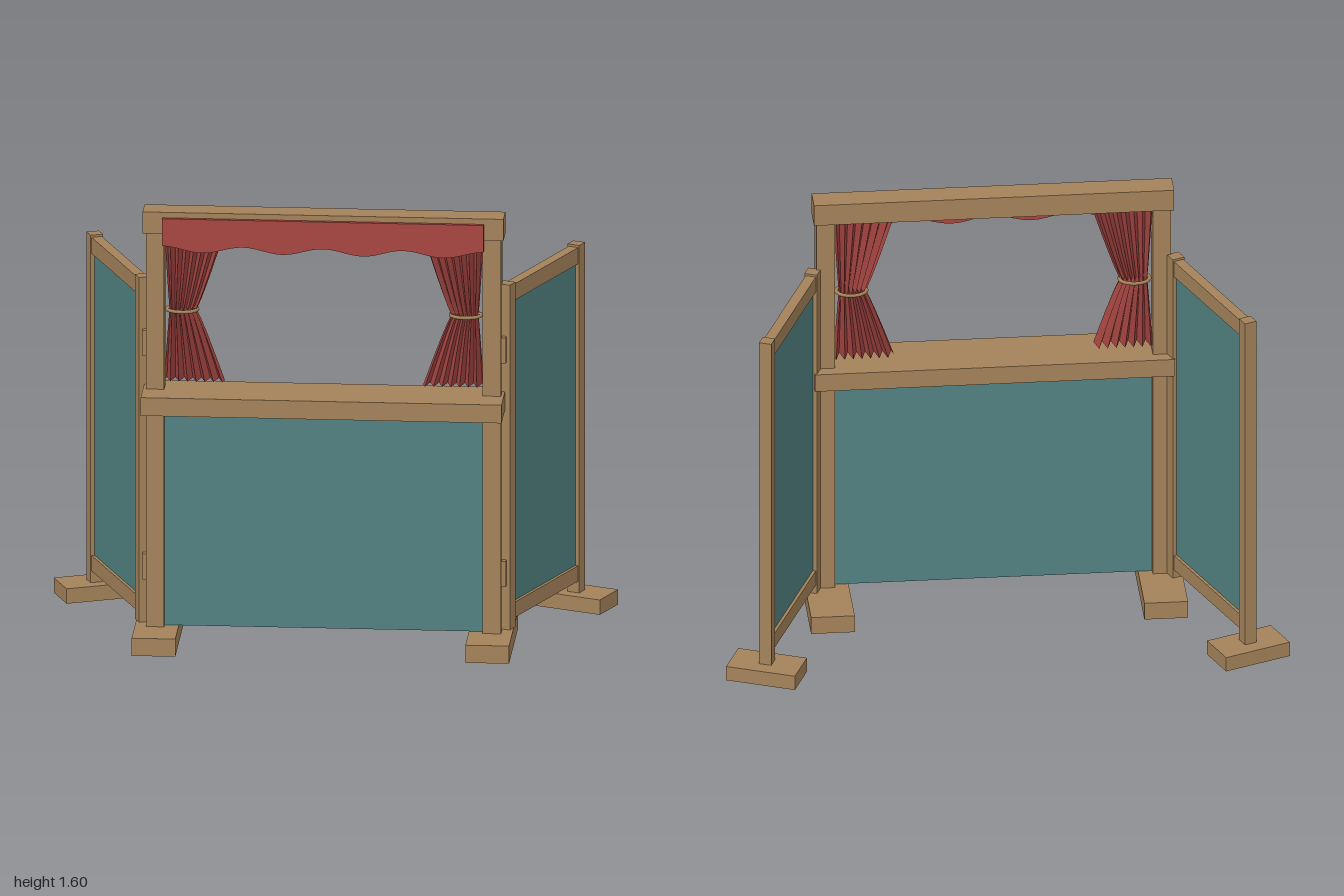
import * as THREE from 'three';

const wood = new THREE.MeshStandardMaterial({ color: 0xa5835a });
const teal = new THREE.MeshStandardMaterial({ color: 0x528282 });
const red = new THREE.MeshStandardMaterial({ color: 0xa84642 });
red.side = THREE.DoubleSide;
red.flatShading = true;

function add(parent, name, geometry, material, x = 0, y = 0, z = 0) {
  const mesh = new THREE.Mesh(geometry, material);
  mesh.name = name;
  mesh.position.set(x, y, z);
  parent.add(mesh);
  return mesh;
}

// box given by its lower and upper corners
function box(parent, name, material, [x0, y0, z0], [x1, y1, z1]) {
  return add(parent, name, new THREE.BoxGeometry(x1 - x0, y1 - y0, z1 - z0), material,
    (x0 + x1) / 2, (y0 + y1) / 2, (z0 + z1) / 2);
}

// flat cloth with a scalloped lower edge
function valanceGeometry() {
  const half = 0.57, steps = 48;
  const shape = new THREE.Shape();
  shape.moveTo(half, 1.58);
  shape.lineTo(-half, 1.58);
  for (let i = 0; i <= steps; i++) {
    const t = i / steps;
    shape.lineTo(-half + 2 * half * t, 1.468 + 0.012 * Math.cos(t * Math.PI * 8));
  }
  return new THREE.ExtrudeGeometry(shape, { depth: 0.014, bevelEnabled: false });
}

// pleated sheet gathered at the tie
function curtainGeometry(side) {
  const pleats = 7, cols = pleats * 4, rows = 16;
  const top = 1.52, tie = 1.23, bottom = 0.97;
  const g = new THREE.PlaneGeometry(1, 1, cols, rows);
  const p = g.attributes.position;
  for (let i = 0; i < p.count; i++) {
    const u = p.getX(i) + 0.5;
    const v = p.getY(i) + 0.5;
    const y = v > 0.5 ? tie + (v - 0.5) * 2 * (top - tie) : bottom + v * 2 * (tie - bottom);
    const open = Math.pow(Math.abs(v - 0.5) * 2, 0.9);
    const outer = 0.548 + 0.019 * open;
    const inner = 0.452 - 0.1 * open;
    const z = 0.245 + (0.022 + 0.006 * open) * Math.sin(u * pleats * Math.PI * 2);
    p.setXYZ(i, side * (inner + (outer - inner) * u), y, z);
  }
  g.computeVertexNormals();
  return g;
}

// folding side wing, running from its hinge along local -z
function wing(side) {
  const g = new THREE.Group();
  g.name = side > 0 ? 'leftWing' : 'rightWing';
  const length = 0.55, h = 0.023;
  box(g, 'hingeStile', wood, [-h, 0.065, -h], [h, 1.338, h]);
  box(g, 'outerStile', wood, [-h, 0.055, -length - h], [h, 1.338, -length + h]);
  box(g, 'topRail', wood, [-0.019, 1.27, -length + h], [0.019, 1.33, -h]);
  box(g, 'bottomRail', wood, [-0.019, 0.098, -length + h], [0.019, 0.155, -h]);
  box(g, 'wingPanel', teal, [-0.008, 0.155, -length + h], [0.008, 1.27, -h]);
  box(g, 'wingFoot', wood, [-0.127, 0, -length - 0.078], [0.127, 0.055, -length + 0.068]);
  g.position.set(side * 0.645, 0, 0.2);
  g.rotation.y = -side * 0.39;
  return g;
}

export function createModel() {
  const model = new THREE.Group();
  model.name = 'puppetTheatre';

  // front frame
  box(model, 'topBeam', wood, [-0.64, 1.52, 0.2], [0.64, 1.6, 0.294]);
  box(model, 'shelf', wood, [-0.64, 0.875, 0.165], [0.64, 0.942, 0.388]);
  box(model, 'frontPanel', teal, [-0.568, 0.065, 0.235], [0.568, 0.876, 0.255]);
  add(model, 'valance', valanceGeometry(), red, 0, 0, 0.294);

  for (const side of [-1, 1]) {
    const post = new THREE.BoxGeometry(0.065, 1.455, 0.07);
    add(model, 'post', post, wood, side * 0.5975, 0.7925, 0.245);
    const foot = new THREE.BoxGeometry(0.155, 0.065, 0.438);
    add(model, 'foot', foot, wood, side * 0.592, 0.0325, 0.209);

    // hinges between post and wing
    for (const y of [0.275, 1.1]) {
      add(model, 'hinge', new THREE.BoxGeometry(0.016, 0.095, 0.035), wood, side * 0.637, y, 0.227);
    }

    // curtain and its tie band
    add(model, 'curtain', curtainGeometry(side), red);
    const band = new THREE.TorusGeometry(0.052, 0.007, 8, 28);
    band.rotateX(Math.PI / 2);
    band.scale(1.03, 1, 0.8);
    add(model, 'curtainTie', band, wood, side * 0.503, 1.231, 0.247);

    model.add(wing(side));
  }
  return model;
}
